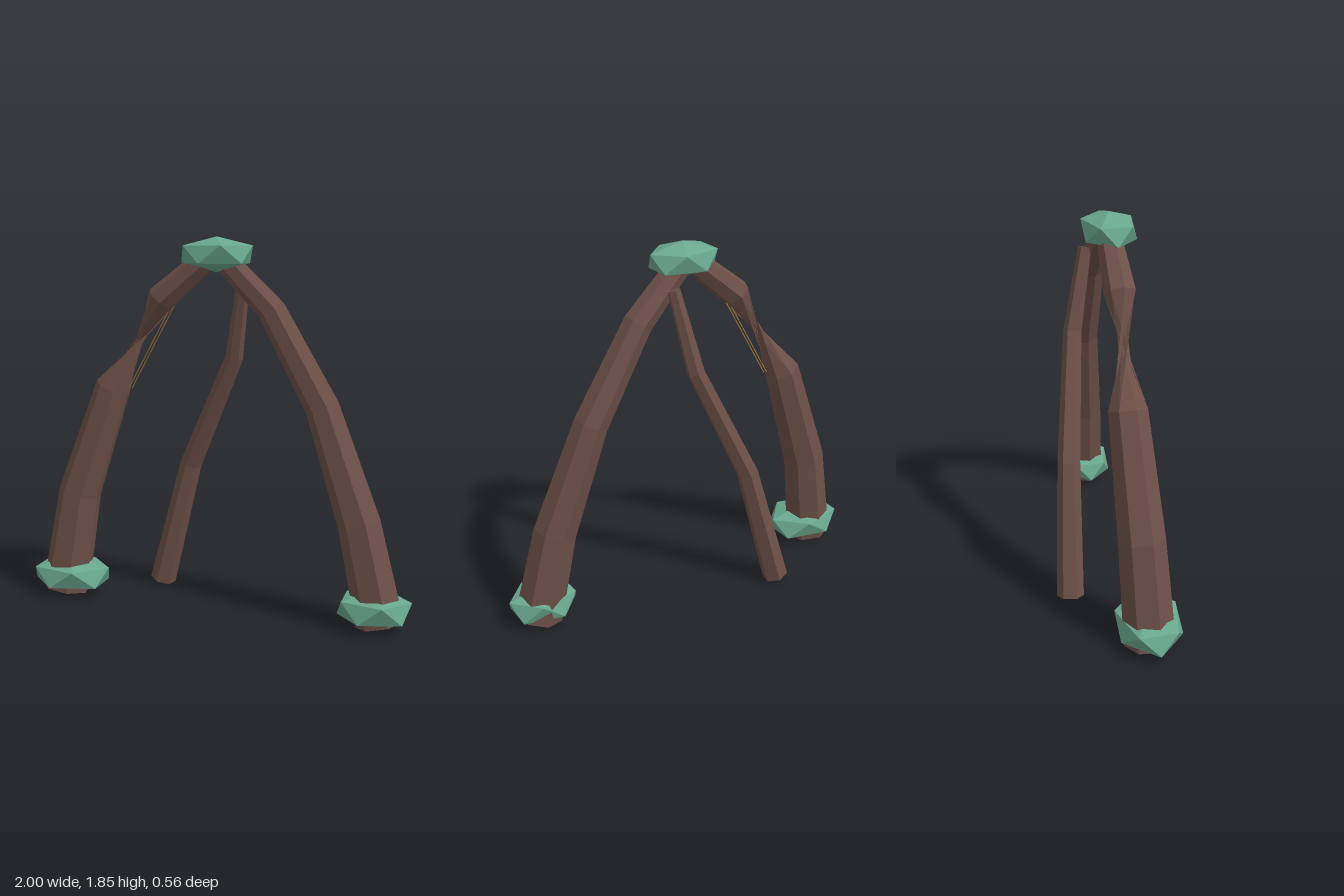
import * as THREE from 'three';
import { ConvexGeometry } from 'three/addons/geometries/ConvexGeometry.js';

// Faceted limb through rings of [x, y, z, radius, twist]
function limbGeometry(rings, sides, phase = 0) {
  const centres = rings.map(([x, y, z]) => new THREE.Vector3(x, y, z));
  const last = rings.length - 1;
  const pos = [];
  const index = [];
  rings.forEach(([, , , r, twist = 0], i) => {
    const t = centres[Math.min(i + 1, last)].clone().sub(centres[Math.max(i - 1, 0)]).normalize();
    const b = new THREE.Vector3(0, 0, 1).addScaledVector(t, -t.z).normalize();
    const n = b.clone().cross(t);
    for (let j = 0; j < sides; j++) {
      const a = (j / sides) * Math.PI * 2 + phase + twist;
      const p = centres[i].clone().addScaledVector(n, r * Math.cos(a)).addScaledVector(b, r * Math.sin(a));
      pos.push(p.x, p.y, p.z);
    }
  });
  const start = pos.length / 3;
  pos.push(...centres[0].toArray(), ...centres[last].toArray());
  for (let j = 0; j < sides; j++) {
    const k = (j + 1) % sides;
    for (let i = 0; i < last; i++) {
      const a = i * sides, c = a + sides;
      index.push(a + j, a + k, c + k, a + j, c + k, c + j);
    }
    index.push(start, k, j, start + 1, last * sides + j, last * sides + k);
  }
  const g = new THREE.BufferGeometry();
  g.setAttribute('position', new THREE.Float32BufferAttribute(pos, 3));
  g.setIndex(index);
  const flat = g.toNonIndexed();
  flat.computeVertexNormals();
  return flat;
}

// Squashed twelve-point clump: two staggered pentagons between two tips
function clumpGeometry(rx, ry, rz) {
  const pts = [new THREE.Vector3(0, ry, 0), new THREE.Vector3(0, -ry, 0)];
  for (let i = 0; i < 5; i++) {
    const a = (i / 5) * Math.PI * 2;
    pts.push(new THREE.Vector3(rx * Math.cos(a), ry * 0.5, rz * Math.sin(a)));
    pts.push(new THREE.Vector3(-rx * Math.cos(a), -ry * 0.5, -rz * Math.sin(a)));
  }
  return new ConvexGeometry(pts);
}

export function createModel() {
  const model = new THREE.Group();
  model.name = 'branchArch';

  const bark = new THREE.MeshStandardMaterial({ color: 0x6d5048, flatShading: true, side: THREE.DoubleSide });
  bark.name = 'bark';
  const moss = new THREE.MeshStandardMaterial({ color: 0x6aa88f, flatShading: true });
  moss.name = 'moss';
  const fibre = new THREE.MeshStandardMaterial({ color: 0xa8793c, flatShading: true });
  fibre.name = 'fibre';

  const add = (name, geometry, material, position = [0, 0, 0]) => {
    const mesh = new THREE.Mesh(geometry, material);
    mesh.name = name;
    mesh.position.set(...position);
    model.add(mesh);
  };

  // Two main limbs meeting at the crown; the right one is wrung to a thin neck
  add('leftLimb', limbGeometry([
    [0.85, 0.04, 0.14, 0.122],
    [0.74, 0.51, 0.12, 0.108],
    [0.54, 1.06, 0.073, 0.086],
    [0.28, 1.52, 0.055, 0.072],
    [0.03, 1.775, 0.06, 0.058],
  ], 7, 0.2), bark);
  const wring = Math.PI * 0.82;
  add('rightLimb', limbGeometry([
    [-0.83, 0.035, 0.07, 0.125],
    [-0.75, 0.55, 0.045, 0.112],
    [-0.56, 1.11, 0.025, 0.092],
    [-0.28, 1.565, 0.06, 0.076, wring],
    [-0.02, 1.78, 0.07, 0.058, wring],
  ], 7, 0.2), bark);

  // Slender branch leaning out behind
  add('rearBranch', limbGeometry([
    [-0.385, 0.03, -0.21, 0.068],
    [-0.21, 0.69, -0.172, 0.056],
    [0.05, 1.27, -0.09, 0.045],
    [0.12, 1.67, -0.01, 0.032],
  ], 6, 0.3), bark);

  // Loose fibres beside the wrung neck
  [0, 0.016].forEach((d) => add('looseFibre', limbGeometry([
    [-0.47 + d, 1.11, 0.035, 0.003],
    [-0.235 + d, 1.53, 0.05, 0.003],
  ], 3), fibre));

  // Moss clumps on the crown and around each foot
  add('crownMoss', clumpGeometry(0.18, 0.085, 0.13), moss, [0.01, 1.783, 0.08]);
  add('rightFootMoss', clumpGeometry(0.208, 0.09, 0.158), moss, [-0.792, 0.115, 0.075]);
  add('leftFootMoss', clumpGeometry(0.18, 0.09, 0.142), moss, [0.818, 0.115, 0.15]);

  return model;
}
